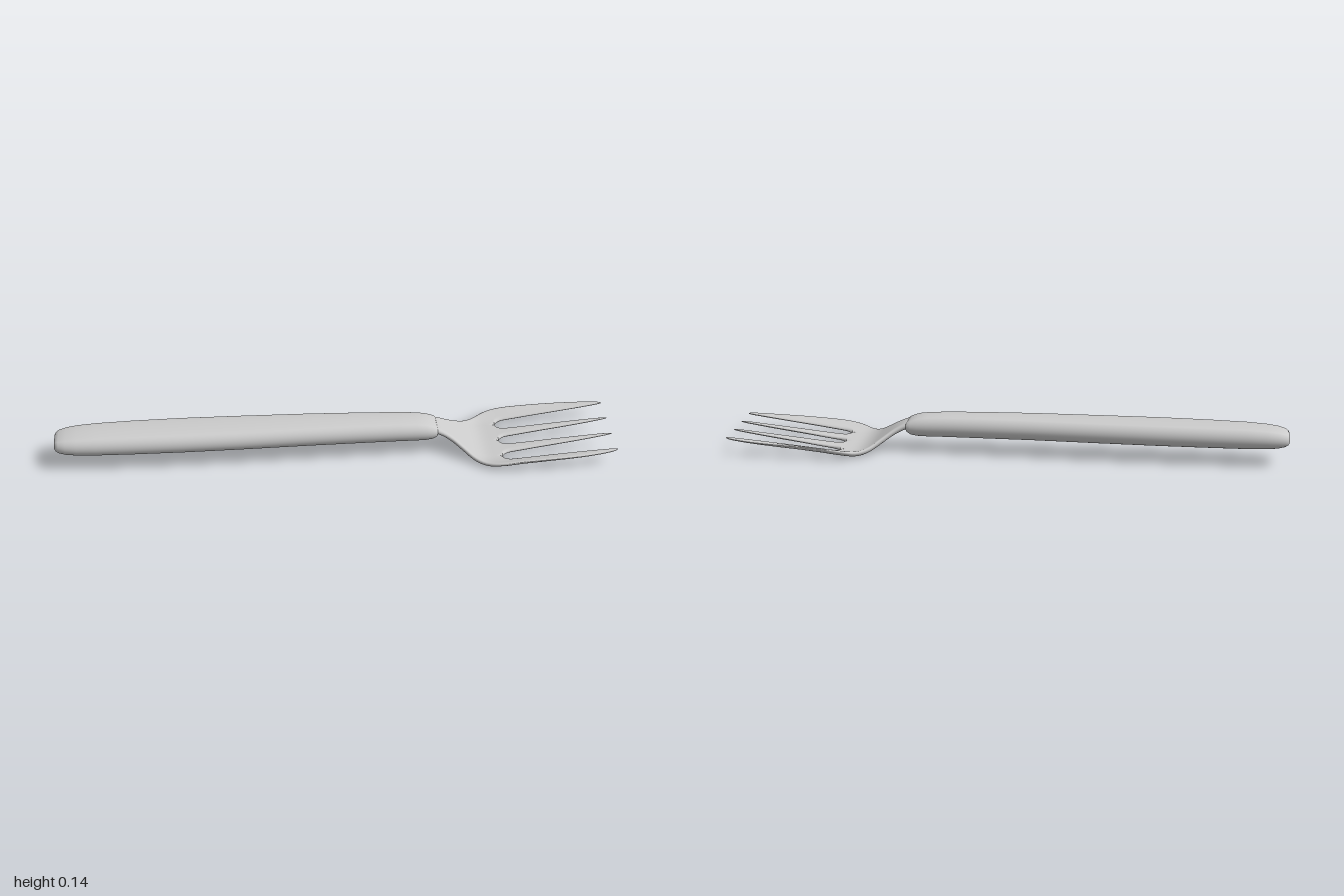
import * as THREE from 'three';
import { mergeVertices } from 'three/addons/utils/BufferGeometryUtils.js';

const material = new THREE.MeshStandardMaterial({ color: 0xcccccc });

// Smooth function through [x, value] points
function spline(points) {
  const n = points.length;
  const slope = (i) => {
    const a = points[Math.max(i - 1, 0)], b = points[Math.min(i + 1, n - 1)];
    return (b[1] - a[1]) / (b[0] - a[0]);
  };
  return (x) => {
    let i = 0;
    while (i < n - 2 && x > points[i + 1][0]) i++;
    const [x0, y0] = points[i], [x1, y1] = points[i + 1];
    const w = x1 - x0, t = THREE.MathUtils.clamp((x - x0) / w, 0, 1);
    const t2 = t * t, t3 = t2 * t;
    return y0 * (2 * t3 - 3 * t2 + 1) + y1 * (3 * t2 - 2 * t3)
      + w * (slope(i) * (t3 - 2 * t2 + t) + slope(i + 1) * (t3 - t2));
  };
}

const round = (t) => Math.sqrt(Math.max(0, 1 - (1 - THREE.MathUtils.clamp(t, 0, 1)) ** 2));

// Adds a grid of quads (rows of points) to the position and index lists
function addGrid(pos, index, rows, flip = false) {
  const base = pos.length / 3, cols = rows[0].length;
  rows.forEach((row) => row.forEach((p) => pos.push(...p)));
  for (let i = 0; i < rows.length - 1; i++) {
    for (let j = 0; j < cols - 1; j++) {
      const a = base + i * cols + j, b = a + 1, c = a + cols, d = c + 1;
      if (flip) index.push(a, c, b, b, c, d);
      else index.push(a, b, c, b, d, c);
    }
  }
}

function makeMesh(name, pos, index) {
  let g = new THREE.BufferGeometry();
  g.setAttribute('position', new THREE.Float32BufferAttribute(pos, 3));
  g.setIndex(index);
  g = mergeVertices(g, 1e-5);
  g.computeVertexNormals();
  const mesh = new THREE.Mesh(g, material);
  mesh.name = name;
  return mesh;
}

// Handle: stadium-shaped sections [x, bottom, top, half width] along x
function makeHandle() {
  const sections = [
    [-1, 0.095, 0.095, 0], [-1, 0.083, 0.107, 0.036], [-0.995, 0.076, 0.115, 0.045],
    [-0.985, 0.071, 0.121, 0.054], [-0.96, 0.065, 0.128, 0.062], [-0.92, 0.062, 0.133, 0.068],
    [-0.85, 0.06, 0.137, 0.072], [-0.72, 0.06, 0.139, 0.076], [-0.55, 0.06, 0.14, 0.078],
    [-0.35, 0.06, 0.14, 0.076], [-0.1, 0.06, 0.14, 0.071], [0.1, 0.058, 0.138, 0.066],
    [0.22, 0.057, 0.135, 0.063], [0.29, 0.056, 0.131, 0.061], [0.325, 0.057, 0.126, 0.059],
    [0.348, 0.062, 0.118, 0.056], [0.362, 0.072, 0.11, 0.052], [0.366, 0.08, 0.103, 0.046],
    [0.366, 0.09, 0.09, 0],
  ];
  const pos = [], index = [], sides = 40;
  const rows = sections.map(([x, lo, hi, w]) => {
    const r = Math.min((hi - lo) / 2, w), flat = w - r;
    const ring = [];
    for (let j = 0; j <= sides; j++) {
      const k = j % sides, a = (k / sides) * Math.PI * 2;
      const s = Math.sin(a);
      // straight top and bottom with rounded sides
      const z = r * s + flat * THREE.MathUtils.clamp(s * 2.2, -1, 1);
      ring.push([x, (lo + hi) / 2 + ((hi - lo) / 2) * Math.cos(a), z]);
    }
    return ring;
  });
  addGrid(pos, index, rows);
  return makeMesh('handle', pos, index);
}

// Head: neck, cupped palm and four tapering tines as one curved plate
function makeHead() {
  const slotX = 0.595;
  const halfWidth = spline([[0.33, 0.047], [0.37, 0.048], [0.41, 0.06], [0.45, 0.087], [0.5, 0.13],
    [0.55, 0.164], [0.595, 0.177], [0.65, 0.18], [0.75, 0.18], [0.83, 0.178], [0.91, 0.172],
    [0.97, 0.163], [0.99, 0.157], [1, 0.15]]);
  const height = spline([[0.33, 0.1], [0.37, 0.092], [0.41, 0.072], [0.45, 0.046], [0.49, 0.022],
    [0.53, 0.01], [0.58, 0.011], [0.65, 0.018], [0.75, 0.03], [0.87, 0.044], [1, 0.06]]);
  const thickness = spline([[0.33, 0.012], [0.45, 0.011], [0.53, 0.009], [0.7, 0.007], [1, 0.005]]);
  const slotWidth = spline([[0.595, 0.025], [0.7, 0.03], [0.8, 0.034], [0.9, 0.039], [0.97, 0.044],
    [0.99, 0.047], [1, 0.05]]);
  const slotHalf = (x) => (x <= slotX ? 0 : slotWidth(x) * round((x - slotX) / 0.035));
  const slotCentre = (x) => (x < slotX ? 0.1 * halfWidth(x) / 0.177 : 0.1);

  const xs = [];
  for (let i = 0; i < 24; i++) xs.push(0.33 + (slotX - 0.33) * (i / 24));
  for (let i = 0; i <= 40; i++) xs.push(slotX + (1 - slotX) * (1 - Math.cos((Math.PI * i) / 40)) / 2);

  // Plate point on the upper (side 1) or lower (side -1) face
  const point = (x, z, side) => {
    const c = slotCentre(x), h = slotHalf(x);
    let d = halfWidth(x) - Math.abs(z);
    for (const s of [-c, 0, c]) {
      d = Math.min(d, x < slotX ? Math.hypot(slotX - x, z - s) : Math.abs(z - s) - h);
    }
    const cup = 0.022 * (Math.max(0, Math.abs(z) - 0.1) / 0.08) ** 2
      * THREE.MathUtils.clamp((1 - x) / 0.35, 0, 1);
    return [x, height(x) + cup + side * thickness(x) * round(d / 0.014), z];
  };

  const pos = [], index = [], cols = 12;
  for (let k = 0; k < 4; k++) {
    for (const side of [1, -1]) {
      const rows = xs.map((x) => {
        const c = slotCentre(x), h = slotHalf(x), w = halfWidth(x);
        const from = [-w, -c + h, h, c + h][k], to = [-c - h, -h, c - h, w][k];
        return Array.from({ length: cols + 1 }, (_, j) => {
          const t = (1 - Math.cos((Math.PI * j) / cols)) / 2;
          return point(x, from + (to - from) * t, side);
        });
      });
      addGrid(pos, index, rows, side < 0);
    }
  }
  return makeMesh('tinedHead', pos, index);
}

export function createModel() {
  const group = new THREE.Group();
  group.name = 'fork';
  group.add(makeHandle(), makeHead());
  return group;
}
